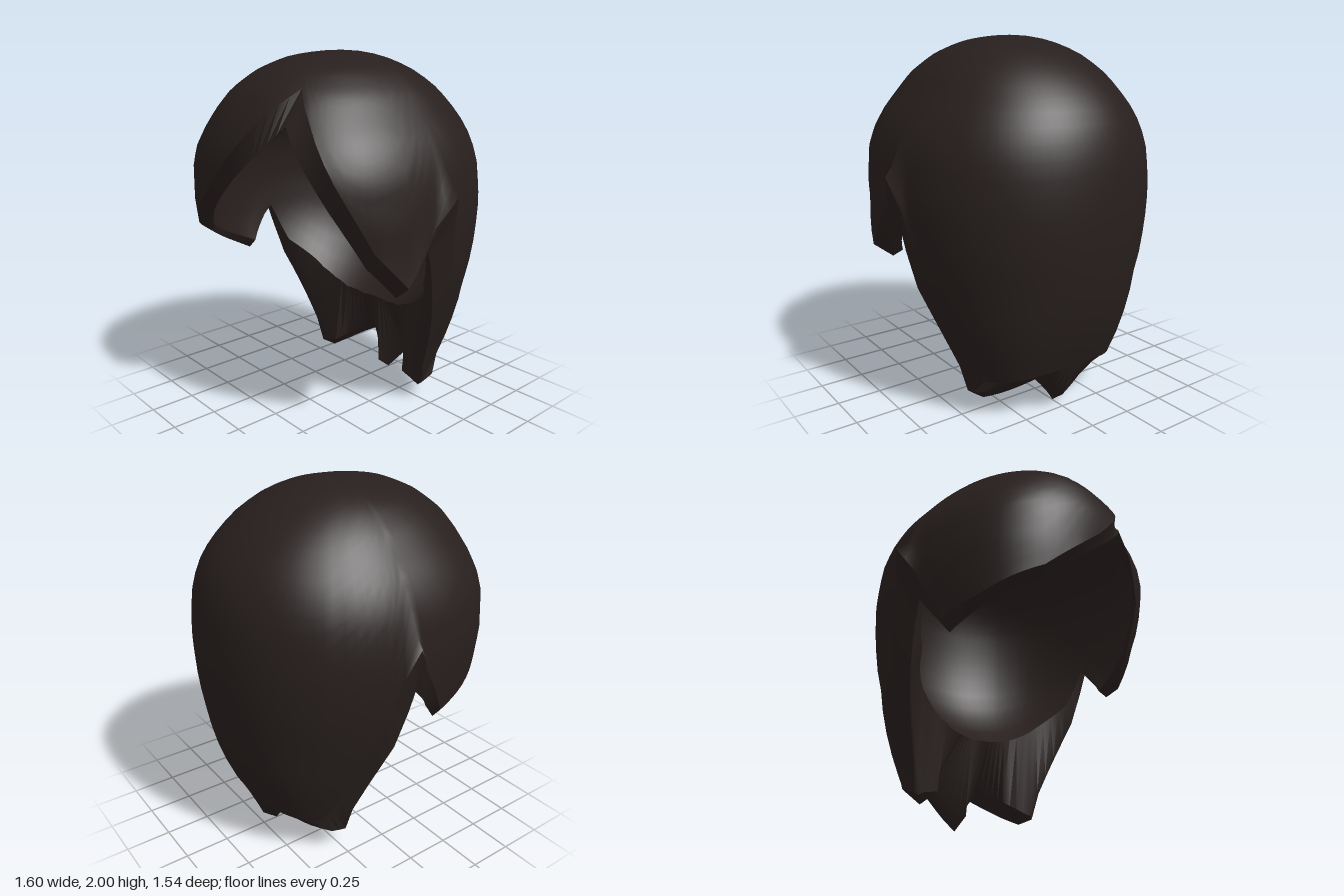
import * as THREE from 'three';
import { mergeVertices, toCreasedNormals } from 'three/addons/utils/BufferGeometryUtils.js';

// Outer volume: height, half width, front depth, back depth
const PROFILE = [
  [2, 0, 0, 0], [1.97, 0.21, 0.31, 0.21], [1.9, 0.37, 0.48, 0.38], [1.8, 0.49, 0.61, 0.53],
  [1.7, 0.565, 0.68, 0.63], [1.6, 0.64, 0.725, 0.7], [1.5, 0.69, 0.76, 0.735], [1.4, 0.72, 0.77, 0.76],
  [1.2, 0.74, 0.765, 0.775], [1, 0.725, 0.74, 0.77], [0.8, 0.69, 0.68, 0.75], [0.6, 0.62, 0.6, 0.71],
  [0.4, 0.54, 0.5, 0.64], [0.2, 0.46, 0.42, 0.55], [0, 0.38, 0.36, 0.45],
];

// Hem, per key: outer angle, outer height, flare, tip angle, tip height, tip radius, inner height, lock half thickness
// Angles run from the front (0) towards the left (+).
const SIDE = [
  [87, 1.16, 1.01, 83, 0.95, 0.69, 0.98, 0],
  [94, 1.31, 1.1, 88, 1.02, 0.69, 1.03, 0],
  [98, 1.14, 1.02, 91, 0.9, 0.68, 0.95, 0],
  [105, 0.84, 1, 96, 0.7, 0.65, 0.8, 0],
  [121, 0.42, 1, 113, 0.25, 0.51, 0.66, 0.01],
  [126, 0.3, 1, 117, 0.1, 0.48, 0.62, 0.02],
  [132, 0.22, 1, 126, 0.07, 0.46, 0.57, 0.09],
  [140, 0.23, 1, 138, 0.11, 0.47, 0.53, 0.09],
  [160, 0.27, 1, 160, 0.2, 0.5, 0.51, 0.04],
  [180, 0.29, 1, 180, 0, 0.41, 0.51, 0.09],
];
const FRINGE = [
  [-73, 0.85, 1, -72, 0.79, 0.67, 0.84, 0],
  [-58, 0.92, 1, -58, 0.88, 0.71, 0.92, 0],
  [-34, 1.07, 1, -34, 1.03, 0.75, 1.06, 0],
  [-9, 1.36, 1, -9, 1.29, 0.73, 1.34, 0],
  [17, 1.72, 1, 14, 1.53, 0.7, 1.6, 0],
  [29, 1.83, 1, 26, 1.66, 0.68, 1.74, 0],
  [36, 1.68, 1, 33, 1.5, 0.73, 1.56, 0],
  [46, 1.42, 1, 44, 1.28, 0.76, 1.32, 0],
  [60, 1.08, 1, 58, 0.99, 0.72, 1.02, 0],
  [73, 0.89, 1.08, 72, 0.81, 0.68, 0.84, 0],
];
const mirrored = SIDE.map((k) => k.map((v, i) => (i === 0 || i === 3 ? -v : v))).reverse();
const KEYS = [...mirrored, ...FRINGE, ...SIDE];

// Radius of the outer volume in direction a (radians) at height y
function radius(a, y) {
  let i = 0;
  while (i < PROFILE.length - 2 && y < PROFILE[i + 1][0]) i++;
  const p = PROFILE[i], q = PROFILE[i + 1];
  const t = (p[0] - y) / (p[0] - q[0]);
  const mix = (c) => Math.sqrt(Math.max(0, p[c] ** 2 + (q[c] ** 2 - p[c] ** 2) * t));
  const front = Math.cos(a) > 0;
  const rx = mix(1), rz = mix(front ? 2 : 3);
  if (rx < 1e-6) return 0;
  // Squarer at the fringe and towards the nape
  const n = 2.12 + (front ? 0.55 * Math.min(1, (2 - y) / 0.6) : 1.8 * Math.max(0, 0.7 - y));
  return (Math.abs(Math.sin(a) / rx) ** n + Math.abs(Math.cos(a) / rz) ** n) ** (-1 / n);
}

const polar = (a, r, y) => [Math.sin(a) * r, y, Math.cos(a) * r];

// Keys subdivided into columns
function makeColumns() {
  const columns = [];
  for (let k = 0; k < KEYS.length - 1; k++) {
    const p = KEYS[k], q = KEYS[k + 1];
    const steps = Math.max(1, Math.round((q[0] - p[0]) / 4));
    for (let s = 0; s < steps; s++) columns.push(p.map((v, i) => v + ((q[i] - v) * s) / steps));
  }
  return columns;
}

// Closed ring of columns, each a list of points from first row to last
function ringGeometry(columns) {
  const rows = columns[0].length, n = columns.length, index = [];
  for (let i = 0; i < n; i++) {
    for (let j = 0; j < rows - 1; j++) {
      const a = i * rows + j, b = ((i + 1) % n) * rows + j;
      index.push(a, a + 1, b, b, a + 1, b + 1);
    }
  }
  const g = new THREE.BufferGeometry();
  g.setAttribute('position', new THREE.Float32BufferAttribute(columns.flat(2), 3));
  g.setIndex(index);
  const merged = mergeVertices(g, 1e-5);
  merged.computeVertexNormals();
  return merged;
}

export function createModel() {
  const group = new THREE.Group();
  group.name = 'hair';
  const material = new THREE.MeshStandardMaterial({ color: 0x271f1d });
  const columns = makeColumns();
  const rad = THREE.MathUtils.degToRad;
  const ROWS = 24;
  const MID = 1.1; // height of the head centre

  const outerPoint = ([deg, hem, flare], t) => {
    const a = rad(deg), y = 2 - (2 - hem) * t ** 1.8;
    return polar(a, radius(a, y) * (1 + (flare - 1) * t ** 14), y);
  };
  // Inner wall: follows the outer volume above the centre, closes in like a ball below it
  const innerPoint = (c, t) => {
    const a = rad(c[3]), y = 2 - (2 - c[6]) * t ** 1.8;
    if (y > MID) return polar(a, radius(a, y) * 0.9, MID + (y - MID) * 0.9);
    return polar(a, radius(a, MID) * 0.9 * Math.sqrt(1 - ((MID - y) / 0.65) ** 2), y);
  };
  // Lock end: side -1 inner corner, 0 tip, 1 outer corner
  const tipPoint = (c, side) => polar(rad(c[3]), c[5] + side * c[7], c[4] + Math.abs(side) * c[7] * 0.8);

  const rows = Array.from({ length: ROWS + 1 }, (_, j) => j / ROWS);
  const add = (name, geometry) => {
    const mesh = new THREE.Mesh(geometry, material);
    mesh.name = name;
    group.add(mesh);
  };

  add('outerHair', ringGeometry(columns.map((c) => rows.map((t) => outerPoint(c, t)))));
  // Thick, bevelled lock ends between outer hem, tips and inner wall
  const ends = columns.map((c) => [outerPoint(c, 1), ...[1, 0, -1].map((s) => tipPoint(c, s)), innerPoint(c, 1)]);
  add('lockEnds', toCreasedNormals(ringGeometry(ends), 0.7));
  add('innerCap', ringGeometry(columns.map((c) => rows.map((t) => innerPoint(c, 1 - t)))));
  return group;
}
